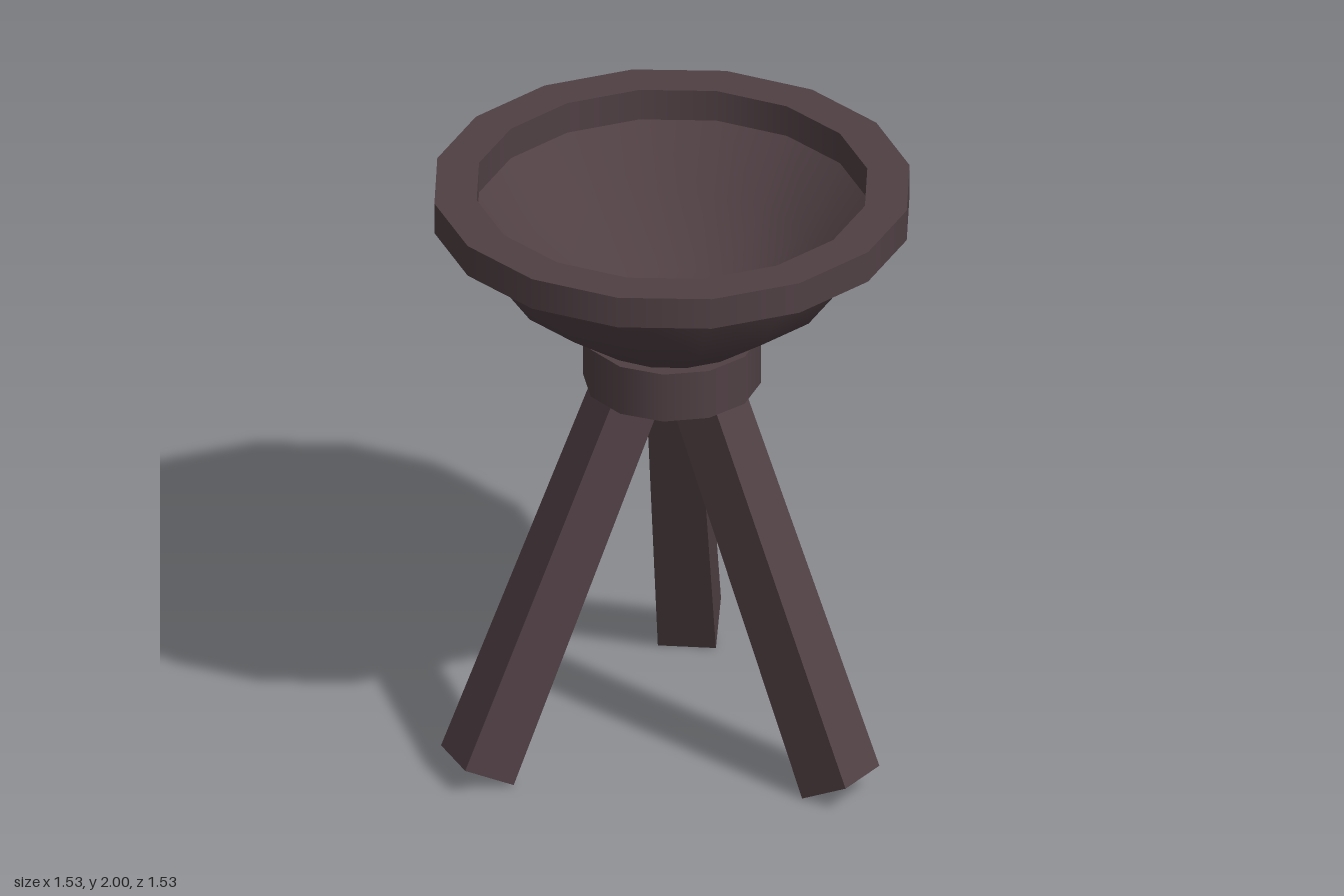
import * as THREE from 'three';
import { mergeGeometries } from 'three/addons/utils/BufferGeometryUtils.js';

const wood = new THREE.MeshStandardMaterial({ color: 0x504044 });
wood.name = 'dark wood';

const toPoints = (list) => list.map(([r, y]) => new THREE.Vector2(r, y));

function addMesh(group, name, geometry) {
  const mesh = new THREE.Mesh(geometry, wood);
  mesh.name = name;
  group.add(mesh);
  return mesh;
}

// Closed ring with sharp edges: one lathed band per side of the profile
function ringGeometry(inner, outer, y0, y1, sides) {
  const corners = [[outer, y0], [outer, y1], [inner, y1], [inner, y0]];
  return mergeGeometries(corners.map((c, i) =>
    new THREE.LatheGeometry(toPoints([c, corners[(i + 1) % 4]]), sides)));
}

// Leg leaning towards +z, tapering slightly to the top
function legGeometry() {
  const geometry = new THREE.BoxGeometry(1, 1, 1).toNonIndexed();
  const pos = geometry.attributes.position;
  for (let i = 0; i < pos.count; i++) {
    const top = pos.getY(i) > 0;
    const outer = pos.getZ(i) > 0;
    const x = Math.sign(pos.getX(i)) * (top ? 0.081 : 0.0925);
    const [z, y] = top
      ? (outer ? [0.2, 1.38] : [0.017, 1.38])
      : (outer ? [0.753, 0.09] : [0.584, 0]);
    pos.setXYZ(i, x, y, z);
  }
  geometry.computeVertexNormals();
  return geometry;
}

export function createModel() {
  const model = new THREE.Group();
  model.name = 'standingBowl';

  // Rim
  addMesh(model, 'rim', ringGeometry(0.628, 0.764, 1.893, 2, 16));

  // Thick-walled bowl: underside, lip hidden in the rim, then the hollow
  const profile = [
    [0, 1.43], [0.287, 1.491], [0.532, 1.666], [0.698, 1.897],
    [0.65, 1.91], [0.495, 1.695], [0.27, 1.54], [0, 1.485],
  ];
  addMesh(model, 'bowl', new THREE.LatheGeometry(toPoints(profile), 16));

  // Collar joining bowl and legs
  const collar = addMesh(model, 'collar', new THREE.CylinderGeometry(0.283, 0.283, 0.17, 12));
  collar.position.y = 1.381;

  // Three splayed legs, set slightly back
  const legs = new THREE.Group();
  legs.name = 'legs';
  legs.position.z = -0.011;
  model.add(legs);
  const leg = legGeometry();
  ['frontLeg', 'backLeftLeg', 'backRightLeg'].forEach((name, i) => {
    addMesh(legs, name, leg).rotation.y = (i * Math.PI * 2) / 3;
  });

  return model;
}
